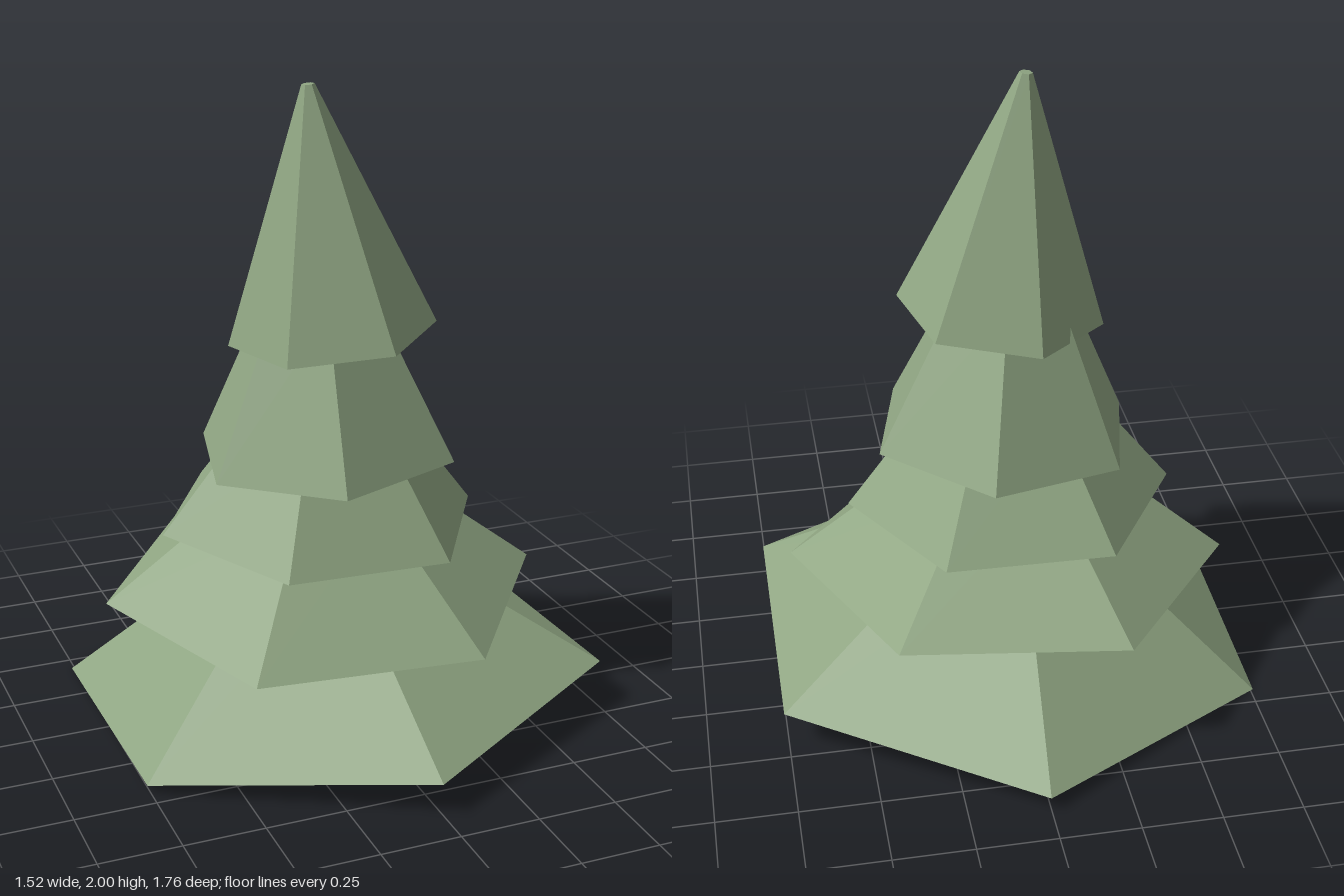
import * as THREE from 'three';

export function createModel() {
  const tree = new THREE.Group();
  tree.name = 'pineTree';

  const foliage = new THREE.MeshStandardMaterial({ color: 0x8fa582, flatShading: true });
  foliage.name = 'sageGreen';
  const underside = new THREE.MeshStandardMaterial({ color: 0x191d1f, flatShading: true });
  underside.name = 'darkUnderside';

  // Each tier: base centre, base and top radius, height, spin in degrees,
  // and how much the base rises along x and z
  const tiers = [
    { at: [0, 0.076, 0], base: 0.88, top: 0.23, height: 0.45, spin: 0, rise: [0.081, 0.031] },
    { at: [-0.015, 0.374, -0.035], base: 0.705, top: 0.26, height: 0.35, spin: 22.6, rise: [0.021, -0.073] },
    { at: [-0.026, 0.602, -0.025], base: 0.52, top: 0.247, height: 0.35, spin: 28.3, rise: [-0.01, -0.04] },
    { at: [-0.006, 0.832, -0.022], base: 0.427, top: 0.182, height: 0.5, spin: -13.1, rise: [0.05, -0.025] },
    { at: [-0.006, 1.226, 0.036], base: 0.324, top: 0.02, height: 0.777, spin: 13.4, rise: [0.1, 0.005] },
  ];

  const up = new THREE.Vector3(0, 1, 0);
  tiers.forEach(({ at, base, top, height, spin, rise }, i) => {
    // Six-sided skirt, pivoting on its base
    const geometry = new THREE.CylinderGeometry(top, base, height, 6);
    geometry.translate(0, height / 2, 0);
    geometry.rotateY(THREE.MathUtils.degToRad(spin));
    const tier = new THREE.Mesh(geometry, [foliage, foliage, underside]);
    tier.name = `branchTier${i + 1}`;
    tier.position.set(...at);
    // Lean the tier so its base follows the given rise
    const normal = new THREE.Vector3(-rise[0], 1, -rise[1]).normalize();
    tier.quaternion.setFromUnitVectors(up, normal);
    tree.add(tier);
  });

  return tree;
}
